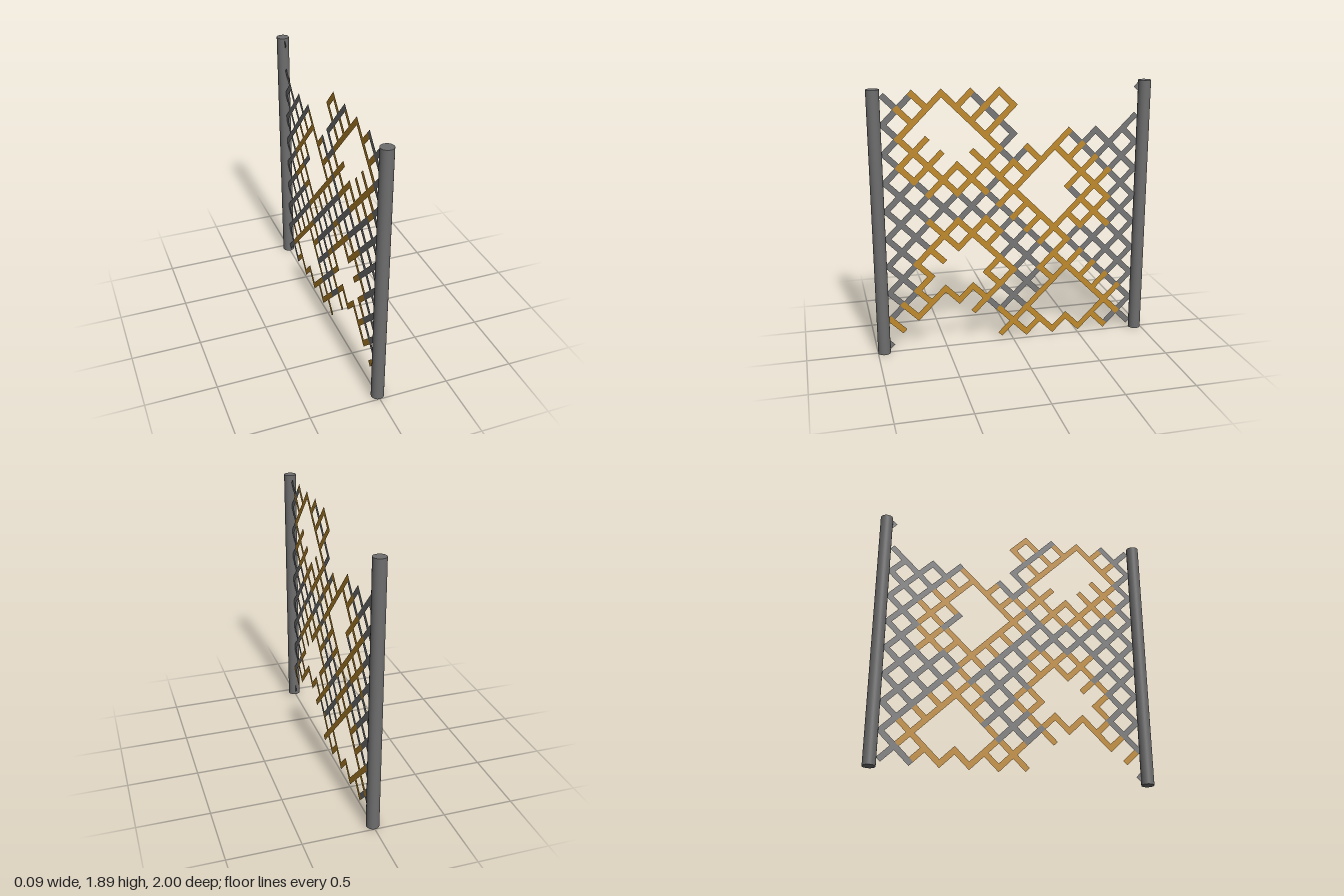
import * as THREE from 'three';
import { mergeGeometries } from 'three/addons/utils/BufferGeometryUtils.js';

// One letter per lattice cell, top row first, columns from +z to -z:
// g = grey wire, o = rusty wire, . = torn away
const CELLS = [
  'ggoooogoo.........',
  'goo..oogo.........',
  'go....oog........g',
  'goo....og...oggggg',
  'gooo..ooggoooogggg',
  'goooooooooo..oogggg',
  'gggoooogoo...ooogg',
  'ggggggggoo...googg',
  'gggggggggoo..ooogg',
  'gggoooooggoooooogg',
  'gggooooogggoogg' + 'ggg',
  'ggoo...oggggogg' + 'ggg',
  'ggo....ooggooogggg',
  'ggo....ooggooooggg',
  'ggooooooggg' + 'o..oogg',
  'goo...ogggo....oog',
  'o.......ooo....oog',
  '........oooooooogg',
];
const ROWS = CELLS.length, STEP = 0.1, WIDTH = 0.042;

export function createModel() {
  const group = new THREE.Group();
  const postGrey = new THREE.MeshStandardMaterial({ color: 0x6e6e6e });
  const wireGrey = new THREE.MeshStandardMaterial({ color: 0x777777, side: THREE.DoubleSide });
  const rust = new THREE.MeshStandardMaterial({ color: 0xc08a2c, side: THREE.DoubleSide });
  postGrey.name = 'post grey';
  wireGrey.name = 'wire grey';
  rust.name = 'rust orange';

  // Posts
  for (const side of [1, -1]) {
    const post = new THREE.Mesh(new THREE.CylinderGeometry(0.045, 0.045, 1.89, 32), postGrey);
    post.name = side > 0 ? 'frontPost' : 'backPost';
    post.position.set(0, 0.945, side * 0.955);
    group.add(post);
  }

  // Wire segments: each cell holds one diagonal, its slope alternating like a chessboard
  const segments = [];
  for (let j = 0; j < ROWS; j++) {
    for (let i = 0; i < ROWS; i++) {
      const kind = CELLS[ROWS - 1 - j][i];
      if (kind !== 'g' && kind !== 'o') continue;
      const up = (i + j) % 2 === 0;
      segments.push({ kind, a: [i, up ? j : j + 1], b: [i + 1, up ? j + 1 : j] });
    }
  }
  // Wire ends that vanish into the posts
  segments.push({ kind: 'g', a: [-0.4, 0.4], b: [0.1, -0.1] });
  segments.push({ kind: 'g', a: [17.9, 18.1], b: [18.4, 17.6] });

  // Ends run on by half a width where wires meet, and stop square where torn
  const count = {};
  for (const s of segments) for (const n of [s.a, s.b]) count[n] = (count[n] || 0) + 1;
  const extra = (n) => (count[n] > 1 ? WIDTH / 2 : 0);

  const strips = { g: [], o: [] };
  for (const { kind, a, b } of segments) {
    const z0 = 0.9 - a[0] * STEP, y0 = 0.05 + a[1] * STEP;
    const z1 = 0.9 - b[0] * STEP, y1 = 0.05 + b[1] * STEP;
    const length = Math.hypot(z1 - z0, y1 - y0);
    const ea = extra(a), eb = extra(b);
    const strip = new THREE.PlaneGeometry(length + ea + eb, WIDTH);
    strip.translate((eb - ea) / 2, 0, 0);
    strip.rotateZ(Math.atan2(y1 - y0, z0 - z1));
    strip.rotateY(Math.PI / 2);
    strip.translate(kind === 'o' ? 0.0005 : 0, (y0 + y1) / 2, (z0 + z1) / 2);
    strips[kind].push(strip);
  }

  const greyWire = new THREE.Mesh(mergeGeometries(strips.g), wireGrey);
  greyWire.name = 'greyWireMesh';
  const rustyWire = new THREE.Mesh(mergeGeometries(strips.o), rust);
  rustyWire.name = 'rustyWireMesh';
  group.add(greyWire, rustyWire);
  return group;
}
